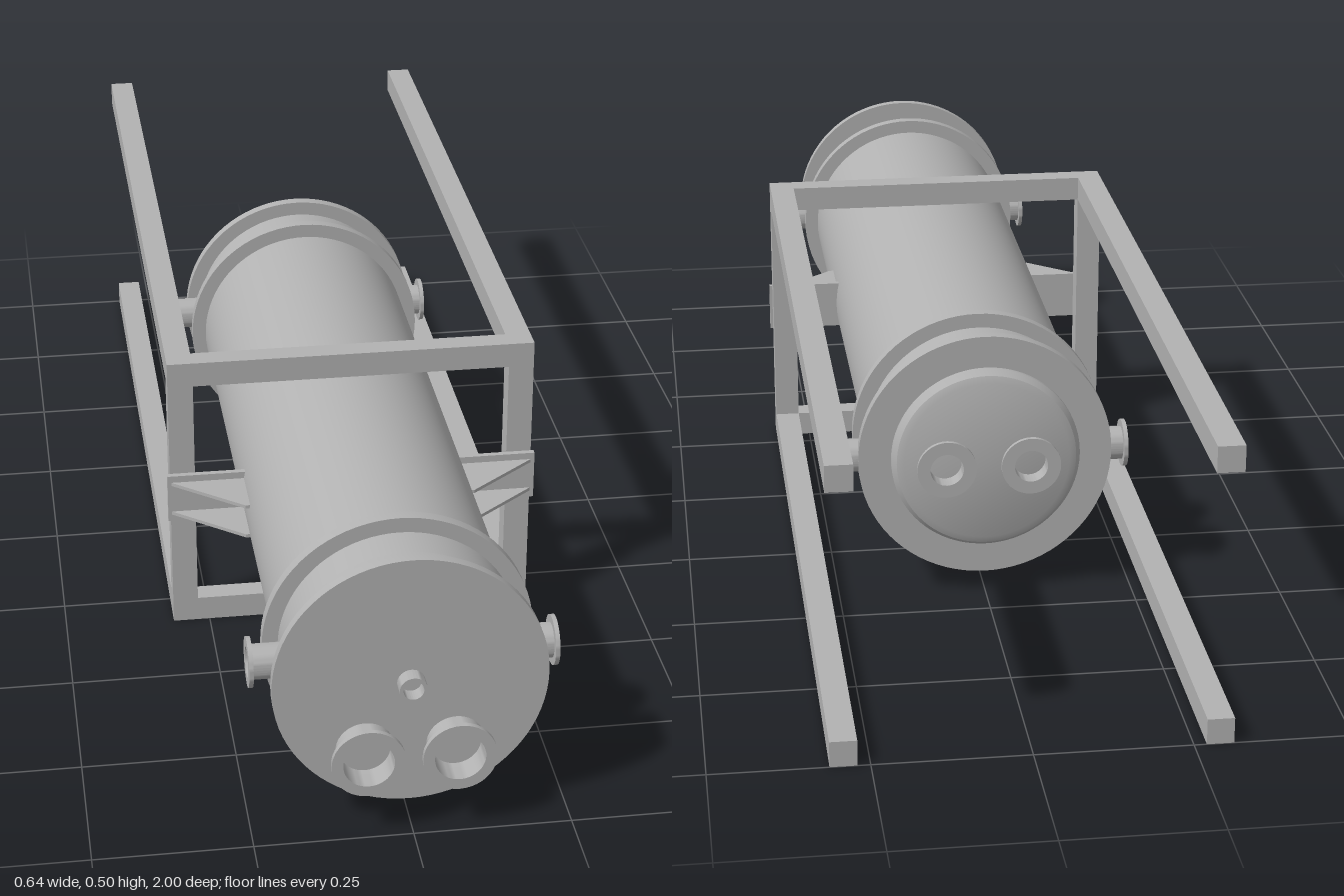
import * as THREE from 'three';
import { toCreasedNormals } from 'three/addons/utils/BufferGeometryUtils.js';

export function createModel() {
  const steel = new THREE.MeshStandardMaterial({ color: 0xb2b2b2 });
  steel.name = 'grey steel';
  const model = new THREE.Group();
  model.name = 'heatExchanger';
  const CY = 0.25; // height of the vessel axis

  const add = (name, geometry, parent = model) => {
    const mesh = new THREE.Mesh(geometry, steel);
    mesh.name = name;
    parent.add(mesh);
    return mesh;
  };
  const box = (name, w, h, d, x, y, z) =>
    add(name, new THREE.BoxGeometry(w, h, d)).position.set(x, y, z);
  // Lathe around +y from [radius, height] pairs, sharp at the corners
  const turned = (pairs, segments = 64) => toCreasedNormals(
    new THREE.LatheGeometry(pairs.map(([r, h]) => new THREE.Vector2(r, h)), segments), 0.4);

  // Vessel shell: domed rear cap, long barrel, conical front neck
  const shell = turned([
    [0, -0.45], [0.14, -0.45], [0.152, -0.445], [0.16, -0.434], [0.16, -0.415],
    [0.19, -0.415], [0.19, 0.888], [0.155, 0.938], [0, 0.938],
  ], 80);
  add('shell', shell.rotateX(Math.PI / 2)).position.y = CY;

  // Flange rings and the front cover plate
  const flanges = [['frontCover', 0.938, 0.955], ['frontFlange', 0.807, 0.827],
    ['rearFlange', -0.319, -0.3], ['rearCoverFlange', -0.427, -0.407]];
  for (const [name, z0, z1] of flanges) {
    const g = turned([[0, z0], [0.215, z0], [0.215, z1], [0, z1]], 80);
    add(name, g.rotateX(Math.PI / 2)).position.y = CY;
  }

  // Hollow flanged nozzle pointing along +y, open at the far end
  const nozzle = (pipe, bore, rim, length, thick) => turned([
    [pipe, 0], [pipe, length - thick], [rim, length - thick], [rim, length],
    [bore, length], [bore, 0.003], [0, 0.003],
  ], 40);

  for (const s of [1, -1]) {
    const side = s > 0 ? 'left' : 'right';
    // Main ports on the front cover
    add(side + 'FrontPort', nozzle(0.046, 0.04, 0.058, 0.047, 0.009).rotateX(Math.PI / 2))
      .position.set(s * 0.071, 0.135, 0.953);
    // Ports on the rear cap
    add(side + 'RearPort', nozzle(0.035, 0.028, 0.05, 0.034, 0.007).rotateX(-Math.PI / 2))
      .position.set(s * 0.071, CY, -0.446);
    // Side ports near both ends
    for (const [end, z] of [['Front', 0.865], ['Rear', -0.398]]) {
      add(side + end + 'SidePort', nozzle(0.028, 0.024, 0.04, 0.073, 0.007).rotateZ(-s * Math.PI / 2))
        .position.set(s * 0.17, CY, z);
    }
  }

  // Small centre drain on the front cover
  add('centreDrain', turned([[0.022, 0], [0.022, 0.027], [0.016, 0.027], [0.016, 0.002], [0, 0.002]], 32)
    .rotateX(Math.PI / 2)).position.set(0, CY, 0.953);

  // Support frame: upright rectangle with four long rails running back
  const T = 0.043, W = 0.313, H = 0.5, Z0 = 0.286, Z1 = 0.325;
  const depth = Z1 - Z0, zc = (Z0 + Z1) / 2;
  for (const s of [1, -1]) {
    const side = s > 0 ? 'left' : 'right';
    box(side + 'Upright', T, H, depth, s * (W - T / 2), H / 2, zc);
    for (const [level, y] of [['Upper', H - T / 2], ['Lower', T / 2]]) {
      box(side + level + 'Rail', T, T, 1 + Z0, s * (W - T / 2), y, (Z0 - 1) / 2);
    }
  }
  for (const [level, y] of [['upper', H - T / 2], ['lower', T / 2]]) {
    box(level + 'Crossbar', 2 * (W - T), T, depth, 0, y, zc);
  }

  // Mounting brackets: backing plate with two triangular gussets per side
  for (const s of [1, -1]) {
    const side = s > 0 ? 'left' : 'right';
    box(side + 'BracketPlate', 0.136, 0.086, 0.01, s * 0.25, CY, 0.33);
    const tri = new THREE.Shape([[0.18, 0.333], [0.314, 0.333], [0.195, 0.43], [0.18, 0.43]]
      .map(([x, z]) => new THREE.Vector2(s * x, z)));
    for (const y of [0.222, 0.278]) {
      const g = new THREE.ExtrudeGeometry(tri, { depth: 0.006, bevelEnabled: false });
      add(side + 'Gusset', g.rotateX(Math.PI / 2)).position.y = y + 0.003;
    }
  }
  return model;
}
